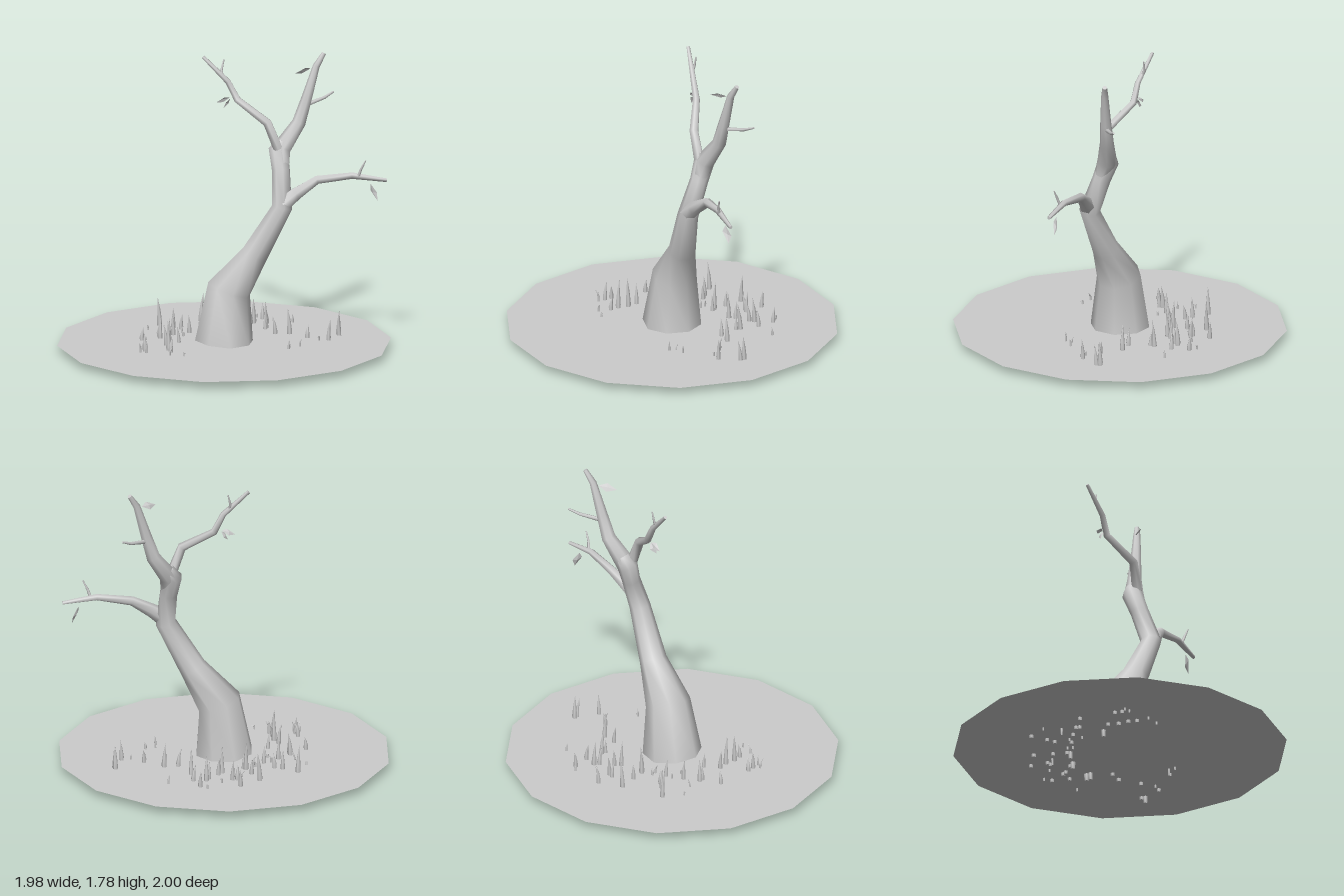
import * as THREE from 'three';

// Tapered tube through points [x, y, z, radius], closed at both ends
function taperedTube(points, sides) {
  const pos = [], index = [];
  const centres = points.map(p => new THREE.Vector3(p[0], p[1], p[2]));
  const last = points.length - 1;
  centres.forEach((c, i) => {
    const t = new THREE.Vector3();
    if (i > 0) t.add(c.clone().sub(centres[i - 1]).normalize());
    if (i < last) t.add(centres[i + 1].clone().sub(c).normalize());
    t.normalize();
    const u = new THREE.Vector3(1, 0, 0).addScaledVector(t, -t.x).normalize();
    const v = t.clone().cross(u);
    for (let j = 0; j < sides; j++) {
      const a = (j + 0.5) / sides * Math.PI * 2;
      const p = c.clone()
        .addScaledVector(u, Math.cos(a) * points[i][3])
        .addScaledVector(v, Math.sin(a) * points[i][3]);
      pos.push(p.x, p.y, p.z);
    }
  });
  for (let i = 0; i < last; i++) {
    for (let j = 0; j < sides; j++) {
      const a = i * sides + j, b = i * sides + (j + 1) % sides;
      index.push(a, b, a + sides, b, b + sides, a + sides);
    }
  }
  // End caps on their own vertices so the rims stay sharp
  for (const end of [0, last]) {
    const start = pos.length / 3;
    pos.push(...pos.slice(end * sides * 3, (end + 1) * sides * 3), ...centres[end].toArray());
    for (let j = 0; j < sides; j++) {
      const a = start + j, b = start + (j + 1) % sides;
      if (end) index.push(start + sides, a, b);
      else index.push(start + sides, b, a);
    }
  }
  const g = new THREE.BufferGeometry();
  g.setAttribute('position', new THREE.Float32BufferAttribute(pos, 3));
  g.setIndex(index);
  g.computeVertexNormals();
  return g;
}

// Pointed leaf folded along its midrib; side is the half-width vector
function leafGeometry(base, tip, side) {
  const b = new THREE.Vector3(...base), t = new THREE.Vector3(...tip), s = new THREE.Vector3(...side);
  const fold = t.clone().sub(b).cross(s).normalize().multiplyScalar(0.008);
  const rib = b.clone().lerp(t, 0.5).add(fold);
  const l = b.clone().lerp(t, 0.45).add(s), r = b.clone().lerp(t, 0.45).sub(s);
  const g = new THREE.BufferGeometry().setFromPoints([b, rib, l, l, rib, t, b, r, rib, r, t, rib]);
  g.computeVertexNormals();
  return g;
}

export function createModel() {
  const model = new THREE.Group();
  const grey = new THREE.MeshStandardMaterial({ color: 0xcccccc, side: THREE.DoubleSide });
  grey.name = 'plain grey';
  const add = (name, geometry, parent = model) => {
    const mesh = new THREE.Mesh(geometry, grey);
    mesh.name = name;
    parent.add(mesh);
    return mesh;
  };

  // Flat ground disc with fourteen sides
  const disc = new THREE.CircleGeometry(1, 14, THREE.MathUtils.degToRad(86));
  disc.rotateX(-Math.PI / 2).translate(0, 0.045, 0);
  add('ground', disc);

  // Leaning trunk
  add('trunk', taperedTube([
    [0, 0.045, 0, 0.178], [0.013, 0.37, -0.028, 0.135], [0.117, 0.59, -0.145, 0.082],
    [0.235, 0.88, -0.257, 0.063], [0.17, 1.09, -0.295, 0.055], [0.13, 1.2, -0.305, 0.062],
    [0.145, 1.25, -0.34, 0.05],
  ], 8));

  // Branches and their twigs
  add('topBranch', taperedTube([
    [0.17, 1.12, -0.305, 0.045], [0.14, 1.21, -0.32, 0.06], [0.165, 1.36, -0.432, 0.043],
    [0.18, 1.5, -0.475, 0.034], [0.198, 1.7, -0.535, 0.022], [0.207, 1.775, -0.585, 0.014],
  ], 7));
  add('topTwig', taperedTube([
    [0.175, 1.465, -0.47, 0.014], [0.172, 1.49, -0.61, 0.01], [0.17, 1.517, -0.68, 0.006],
  ], 5));
  add('frontBranch', taperedTube([
    [0.155, 1.22, -0.285, 0.032], [0.123, 1.38, -0.23, 0.028], [-0.055, 1.5, -0.137, 0.022],
    [-0.09, 1.61, -0.093, 0.018], [-0.2, 1.755, 0.01, 0.011],
  ], 6));
  add('frontTwig', taperedTube([
    [-0.112, 1.635, -0.07, 0.009], [-0.132, 1.675, -0.075, 0.008], [-0.127, 1.74, -0.09, 0.004],
  ], 5));
  add('sideBranch', taperedTube([
    [0.24, 0.9, -0.26, 0.052], [0.275, 0.96, -0.33, 0.042], [0.325, 1.04, -0.45, 0.028],
    [0.46, 1.07, -0.61, 0.02], [0.585, 1.043, -0.775, 0.011],
  ], 6));
  add('sideTwig', taperedTube([
    [0.49, 1.07, -0.635, 0.01], [0.508, 1.115, -0.64, 0.008], [0.53, 1.17, -0.66, 0.004],
  ], 5));

  // A few remaining leaves
  [
    [[0.19, 1.69, -0.5], [0.19, 1.675, -0.385], [0.018, 0.02, 0]],
    [[-0.09, 1.51, -0.105], [-0.135, 1.48, -0.04], [0.012, 0.017, 0.005]],
    [[-0.09, 1.505, -0.11], [-0.105, 1.445, -0.07], [0.012, 0.008, 0.017]],
    [[0.523, 1.02, -0.7], [0.545, 0.915, -0.735], [0.006, 0.012, 0.028]],
  ].forEach(([base, tip, side], i) => add('leaf' + (i + 1), leafGeometry(base, tip, side)));

  // Grass blades at [x, z], sorted by height
  const tall = [[-0.31, 0.25], [0.25, -0.66], [-0.27, -0.41], [-0.24, -0.25], [-0.3, -0.11],
    [-0.49, -0.18], [-0.55, 0.08], [-0.02, 0.39], [-0.07, 0.35], [-0.13, -0.4], [0.07, -0.43]];
  const medium = [[-0.32, -0.51], [-0.22, -0.47], [-0.26, -0.38], [-0.11, -0.38], [-0.48, -0.33],
    [-0.37, -0.29], [-0.39, -0.27], [-0.25, -0.29], [-0.38, -0.14], [-0.28, -0.11], [-0.4, 0.03],
    [-0.45, 0.05], [-0.3, 0.04], [-0.31, 0.15], [-0.29, 0.26], [-0.14, 0.23], [-0.13, 0.33],
    [0.03, 0.41], [-0.12, 0.5], [-0.08, 0.52], [0.02, -0.36], [0.27, -0.65], [0.33, -0.53],
    [0.21, -0.46], [-0.31, 0.38]];
  const short = [[-0.15, -0.61], [-0.37, -0.5], [-0.36, -0.37], [-0.37, -0.22], [-0.31, -0.04],
    [-0.28, -0.03], [-0.32, 0.08], [-0.25, 0.12], [-0.5, 0.2], [-0.39, 0.21], [0.15, 0.4],
    [0.09, 0.46], [-0.07, 0.56], [-0.04, 0.54], [0.3, -0.48], [0.34, -0.24], [0.37, -0.21], [0.36, -0.3]];
  const grass = new THREE.Group();
  grass.name = 'grass';
  model.add(grass);
  let seed = 7;
  const rand = () => (seed = (seed * 16807) % 2147483647) / 2147483647;
  for (const [list, top, radius] of [[tall, 0.205, 0.016], [medium, 0.15, 0.014], [short, 0.085, 0.007]]) {
    list.forEach(([x, z], i) => {
      const y0 = i % 6 === 3 ? 0 : 0.025, y1 = top + (rand() - 0.5) * 0.05;
      const dx = (rand() - 0.5) * 0.03, dz = (rand() - 0.5) * 0.03;
      add('grassBlade', taperedTube([
        [x, y0, z, radius * 0.85], [x, y0 + 0.04, z, radius],
        [x + dx * 0.3, (y0 + y1) / 2 + 0.02, z + dz * 0.3, radius * 0.6], [x + dx, y1, z + dz, 0.001],
      ], 5), grass);
    });
  }
  return model;
}
